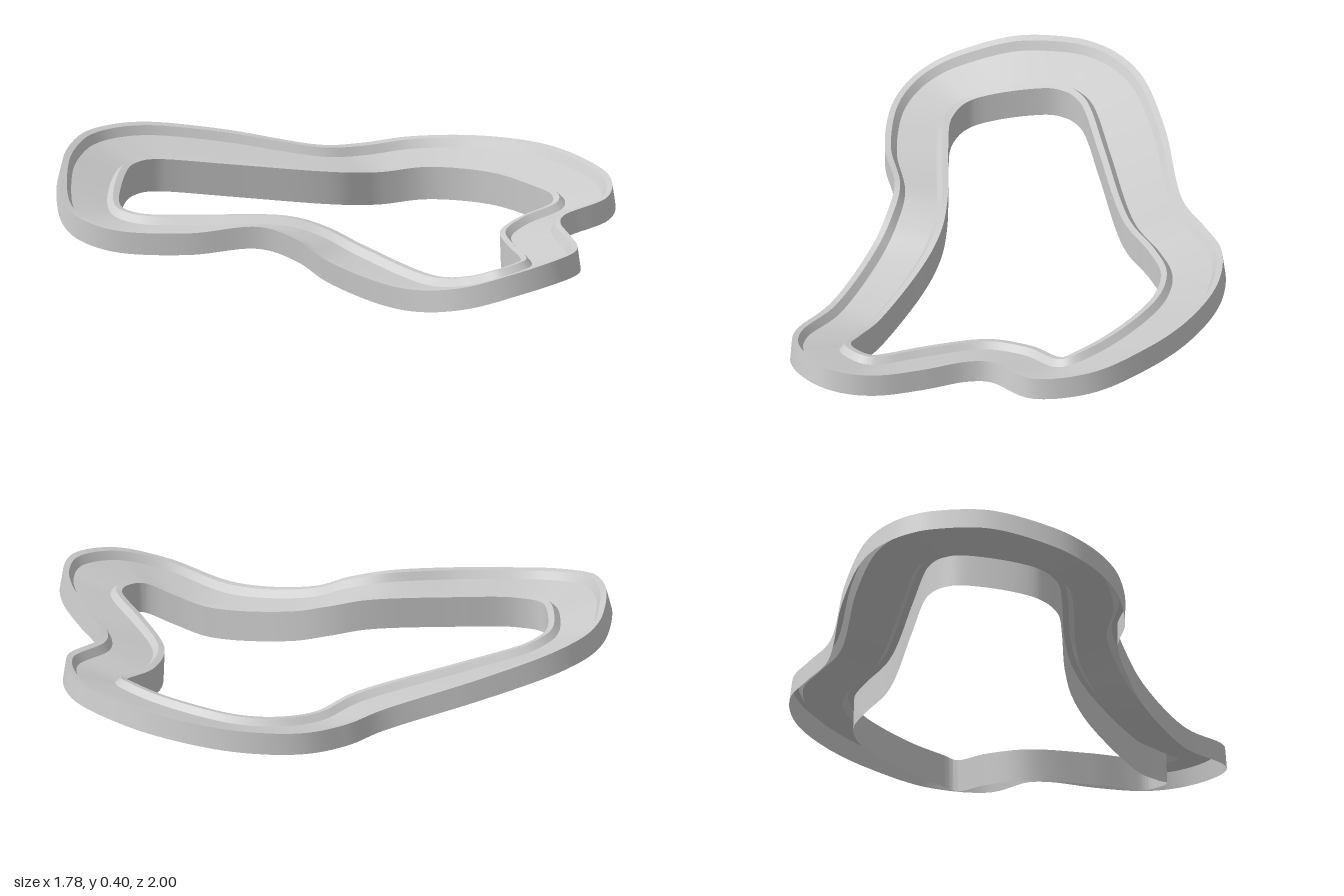
import * as THREE from 'three';
import { toCreasedNormals } from 'three/addons/utils/BufferGeometryUtils.js';

const STEPS = 300;

// Outer edge of the loop: x, z, height of the rim top
const OUTER = [
  [-0.34, -1, 0.4], [-0.235, -0.985, 0.396], [-0.13, -0.945, 0.385], [0.08, -0.81, 0.345],
  [0.345, -0.6, 0.28], [0.49, -0.55, 0.27], [0.65, -0.468, 0.28], [0.8, -0.28, 0.295],
  [0.88, -0.03, 0.305], [0.88, 0.185, 0.3], [0.815, 0.42, 0.285], [0.66, 0.565, 0.265],
  [0.46, 0.565, 0.242], [0.395, 0.615, 0.238], [0.315, 0.75, 0.237], [0.225, 0.89, 0.243],
  [0.14, 0.965, 0.25], [0.035, 0.995, 0.25], [-0.14, 0.935, 0.215], [-0.265, 0.79, 0.16],
  [-0.32, 0.53, 0.12], [-0.39, 0.24, 0.17], [-0.43, 0.12, 0.23], [-0.5, 0, 0.265],
  [-0.685, -0.16, 0.245], [-0.83, -0.345, 0.24], [-0.875, -0.44, 0.25], [-0.89, -0.53, 0.267],
  [-0.88, -0.6, 0.288], [-0.84, -0.68, 0.32], [-0.685, -0.85, 0.385], [-0.5, -0.965, 0.402],
  [-0.42, -0.992, 0.402],
];

// Inner edge, paired with the outer one: x, z, height of the skirt bottom
const INNER = [
  [-0.345, -0.768, 0.2], [-0.295, -0.757, 0.196], [-0.245, -0.73, 0.19], [-0.075, -0.61, 0.165],
  [0.24, -0.395, 0.12], [0.4, -0.345, 0.1], [0.53, -0.265, 0.11], [0.605, -0.15, 0.115],
  [0.642, 0, 0.12], [0.645, 0.17, 0.115], [0.625, 0.305, 0.11], [0.6, 0.335, 0.095],
  [0.45, 0.33, 0.07], [0.3, 0.39, 0.06], [0.175, 0.565, 0.065], [0.1, 0.705, 0.07],
  [0.07, 0.745, 0.07], [0.035, 0.758, 0.07], [-0.045, 0.735, 0.055], [-0.09, 0.64, 0.02],
  [-0.12, 0.5, 0], [-0.18, 0.19, 0.06], [-0.225, 0.055, 0.105], [-0.3, -0.06, 0.135],
  [-0.52, -0.31, 0.13], [-0.62, -0.43, 0.125], [-0.645, -0.48, 0.125], [-0.655, -0.53, 0.13],
  [-0.65, -0.56, 0.135], [-0.63, -0.592, 0.145], [-0.545, -0.67, 0.172], [-0.435, -0.75, 0.195],
  [-0.39, -0.766, 0.198],
];

const SKIRT = 0.12; // depth of the inner wall
const WALL = 0.08;  // depth of the outer wall
const LEAN = [0.15, 0.6]; // how far each wall follows the banking

// Open sheet cross-section: [side (0 inner, 1 outer), inset from that side, height below the rim]
const SECTION = [
  [0, 0, -SKIRT], [0, 0, 0], [0, 0.022, 0], [0, 0.042, -0.026],
  [1, 0.042, -0.026], [1, 0.022, 0], [1, 0, 0], [1, 0, -WALL],
];

function closedCurve(points, lift) {
  return new THREE.CatmullRomCurve3(
    points.map(([x, z, y]) => new THREE.Vector3(x, y + lift, z)), true, 'centripetal');
}

// Sweep the banked cross-section between the two edge curves
function trackGeometry() {
  const outer = closedCurve(OUTER, 0), inner = closedCurve(INNER, SKIRT);
  const positions = [], index = [], n = SECTION.length;
  for (let i = 0; i < STEPS; i++) {
    const O = outer.getPoint(i / STEPS), I = inner.getPoint(i / STEPS);
    const width = Math.hypot(O.x - I.x, O.z - I.z);
    const ux = (O.x - I.x) / width, uz = (O.z - I.z) / width;
    const slope = (O.y - I.y) / width;
    for (const [side, inset, h] of SECTION) {
      const across = side ? width - inset : inset;
      const d = across - (h + WALL * side) * slope * LEAN[side];
      positions.push(I.x + ux * d, I.y + across * slope + h, I.z + uz * d);
    }
    const next = (i + 1) % STEPS;
    for (let j = 0; j < n - 1; j++) {
      const a = i * n + j, b = next * n + j;
      index.push(a, b, a + 1, b, b + 1, a + 1);
    }
  }
  const geometry = new THREE.BufferGeometry();
  geometry.setAttribute('position', new THREE.Float32BufferAttribute(positions, 3));
  geometry.setIndex(index);
  return toCreasedNormals(geometry, 0.6);
}

export function createModel() {
  const group = new THREE.Group();
  const material = new THREE.MeshStandardMaterial({ color: 0xcccccc, side: THREE.DoubleSide });
  const track = new THREE.Mesh(trackGeometry(), material);
  track.name = 'bankedTrackLoop';
  group.add(track);
  return group;
}
